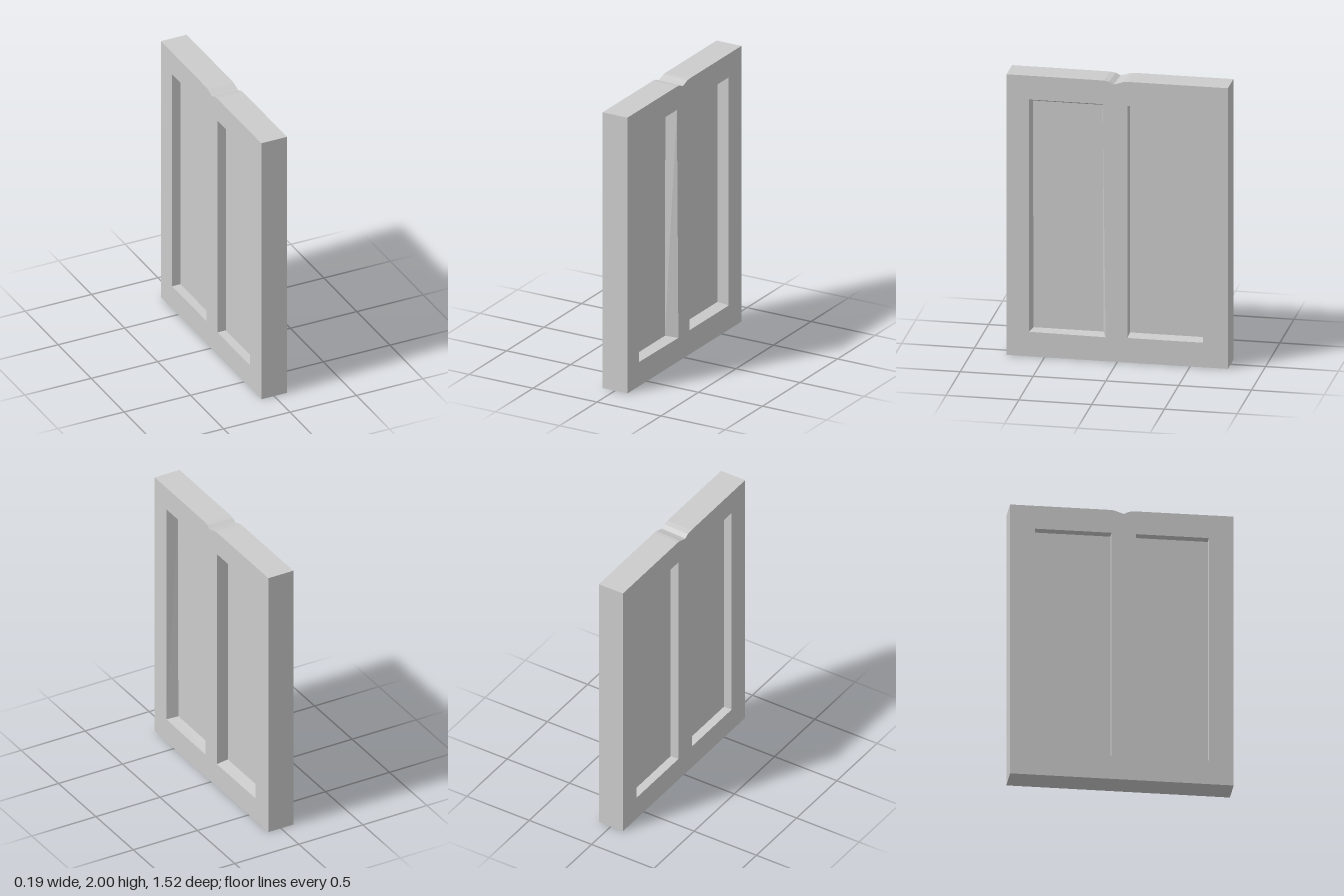
import * as THREE from 'three';

const HALF_T = 0.097; // half thickness
const HALF_W = 0.76; // half width
const SEAM = 0.01; // x where the two frame layers meet

// Top edge with a small worn notch, as [z, y] from back to front
const TOP = [
  [-HALF_W, 2], [-0.075, 2], [-0.045, 1.997], [-0.022, 1.988], [0.0, 1.981],
  [0.02, 1.976], [0.035, 1.984], [0.052, 1.993], [0.09, 1.999], [HALF_W, 2],
];

// Panel openings as [z, y] corners
const rearPanel = [[-0.59, 0.175], [-0.07, 0.175], [-0.07, 1.83], [-0.59, 1.83]];
const frontOuter = [[0.08, 0.17], [0.605, 0.175], [0.605, 1.83], [0.1, 1.83]];
const frontInner = [[0.112, 0.18], [0.592, 0.18], [0.595, 1.795], [0.108, 1.795]];
const frontStraight = [[0.097, 0.175], [0.592, 0.175], [0.592, 1.83], [0.097, 1.83]];
const rearInner = [[-0.59, 0.186], [-0.07, 0.186], [-0.07, 1.83], [-0.59, 1.83]];

const toVec = ([z, y]) => new THREE.Vector2(-z, y);

// One layer of the frame between x0 and x1; openings taper towards x0
function frameLayer(x0, x1, openings, tapered) {
  const shape = new THREE.Shape([[-HALF_W, 0], ...TOP, [HALF_W, 0]].map(toVec));
  openings.forEach((o) => shape.holes.push(new THREE.Path(o.map(toVec))));
  const geo = new THREE.ExtrudeGeometry(shape, { depth: x1 - x0, bevelEnabled: false });
  geo.rotateY(Math.PI / 2).translate(x0, 0, 0);
  const from = openings.flat();
  const to = tapered.flat();
  const p = geo.attributes.position;
  for (let i = 0; i < p.count; i++) {
    const x = p.getX(i), y = p.getY(i), z = p.getZ(i);
    const k = from.findIndex((c) => Math.hypot(c[0] - z, c[1] - y) < 1e-4);
    if (k >= 0 && Math.abs(x - x0) < 1e-4) {
      p.setY(i, to[k][1]);
      p.setZ(i, to[k][0]);
    } else if (y > 1.9 && Math.abs(z) < 0.06) {
      p.setZ(i, z + x * 0.05); // notch runs slightly askew
    }
  }
  geo.computeVertexNormals();
  return geo;
}

export function createModel() {
  const group = new THREE.Group();
  const material = new THREE.MeshStandardMaterial({ color: 0xcccccc, flatShading: true });
  const add = (name, geo) => {
    const mesh = new THREE.Mesh(geo, material);
    mesh.name = name;
    group.add(mesh);
    return mesh;
  };

  // Frame: tapered openings on one side, straight ones on the other
  add('frameFrontLayer', frameLayer(SEAM, HALF_T, [rearPanel, frontOuter], [rearInner, frontInner]));
  const straight = [rearPanel, frontStraight];
  add('frameBackLayer', frameLayer(-HALF_T, SEAM, straight, straight));

  // Recessed panels, tucked a little into the frame
  const backFace = -0.035;
  for (const [name, z0, z1] of [['rearPanel', -0.61, -0.05], ['forwardPanel', 0.075, 0.615]]) {
    const panel = add(name, new THREE.BoxGeometry(SEAM - backFace + 0.001, 1.7, z1 - z0));
    panel.position.set((SEAM + backFace + 0.001) / 2, 1.0, (z0 + z1) / 2);
  }
  return group;
}
